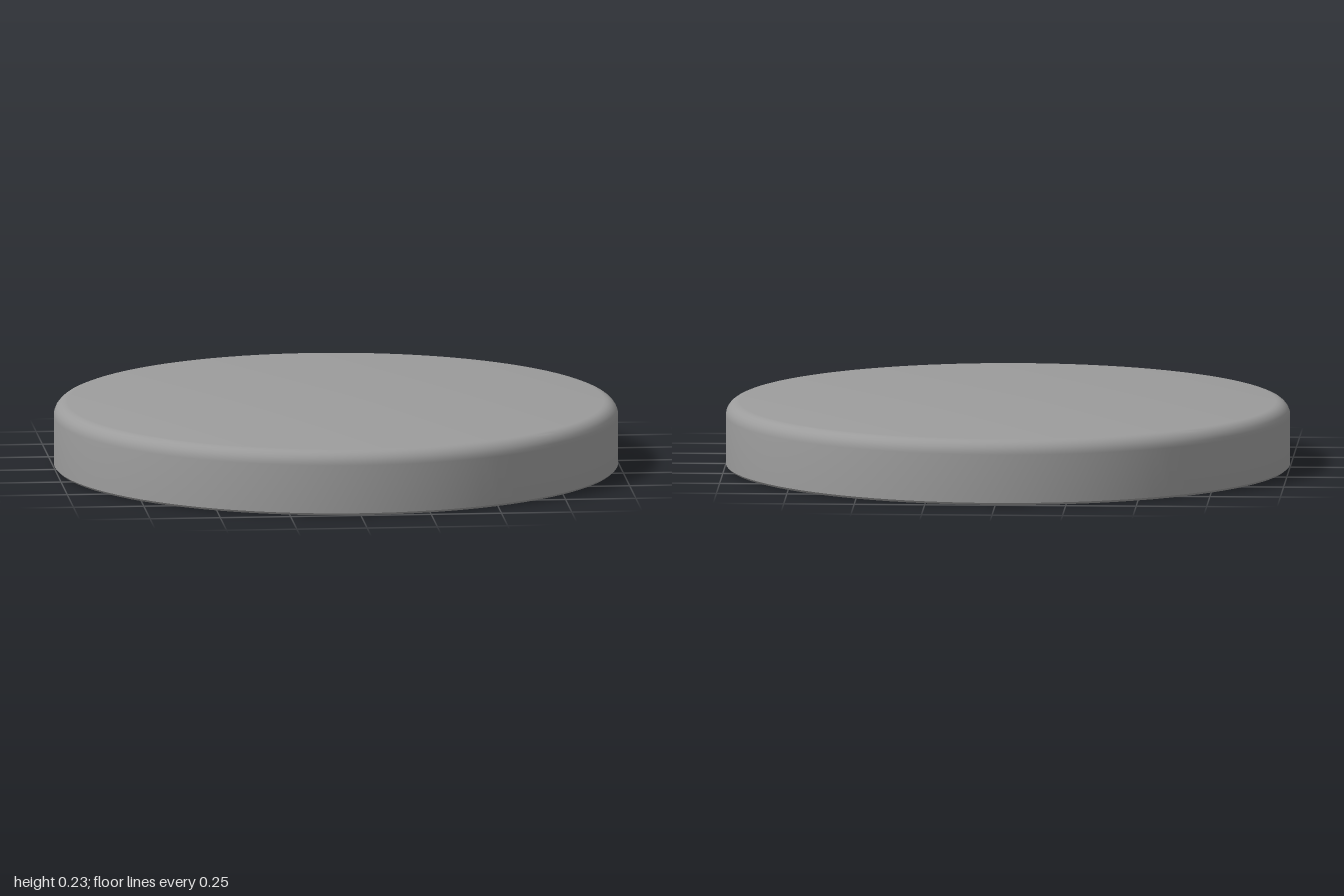
import * as THREE from 'three';
import { toCreasedNormals } from 'three/addons/utils/BufferGeometryUtils.js';

const TAU = Math.PI * 2;

// Outline helpers; a shape's y becomes the model's z
const circle = (x, z, r, Type = THREE.Shape) => new Type().absarc(x, z, r, 0, TAU, false);
const hexagon = (x, z, r) => new THREE.Path(Array.from({ length: 6 }, (_, i) =>
  new THREE.Vector2(x + r * Math.cos(i * TAU / 6), z + r * Math.sin(i * TAU / 6))));
const polar = (r, deg) => [r * Math.cos(deg * TAU / 360), r * Math.sin(deg * TAU / 360)];

export function createModel() {
  const model = new THREE.Group();
  const grey = new THREE.MeshStandardMaterial({ color: 0x9c9c9c });
  grey.name = 'grey';

  function add(name, geometry) {
    const mesh = new THREE.Mesh(toCreasedNormals(geometry, 0.5), grey);
    mesh.name = name;
    model.add(mesh);
  }
  // Flat layer between two heights, cut through by holes
  function layer(name, shape, holes, y0, y1, curveSegments = 24) {
    shape.holes.push(...holes);
    const g = new THREE.ExtrudeGeometry(shape, { depth: y1 - y0, bevelEnabled: false, curveSegments });
    add(name, g.rotateX(Math.PI / 2).translate(0, y1, 0));
  }

  // Round shell: underside, inner wall, lip, outer wall, rounded top edge
  const profile = [[0, 0.16], [0.97, 0.16], [0.97, 0.01], [0.978, 0], [0.992, 0], [1, 0.008], [1, 0.18]]
    .map(([r, y]) => new THREE.Vector2(r, y));
  for (let i = 1; i <= 6; i++) {
    const a = i * Math.PI / 12;
    profile.push(new THREE.Vector2(0.95 + 0.05 * Math.cos(a), 0.18 + 0.05 * Math.sin(a)));
  }
  profile.push(new THREE.Vector2(0, 0.23));
  add('shell', new THREE.LatheGeometry(profile, 96));

  // Pocket outline, mirrored across z = 0
  const half = [[0.62, 0.61], [0.1, 0.75], [-0.25, 0.75], [-0.3, 0.62], [-0.62, 0.61]];
  const pocket = new THREE.Path([...half, ...half.map(([x, z]) => [x, -z]).reverse()]
    .map(([x, z]) => new THREE.Vector2(x, z)));

  // Inner plates: pocket floor with two round recesses, and the lower plate around the pocket
  layer('pocketFloor', circle(0, 0, 0.971),
    [1, -1].map(s => circle(0, s * 0.52, 0.075, THREE.Path)), 0.125, 0.162, 48);
  const screwHoles = [32.5, 90, 147.5, -32.5, -90, -147.5]
    .map(deg => circle(...polar(0.84, deg), 0.022, THREE.Path));
  layer('lowerPlate', circle(0, 0, 0.971), [pocket, ...screwHoles], 0.1, 0.126, 48);

  // Three mounting bosses with hexagonal sockets
  for (const deg of [0, 120, 240]) {
    const [x, z] = polar(0.84, deg);
    layer('bossBase', circle(x, z, 0.088), [circle(x, z, 0.025, THREE.Path)], 0.055, 0.101);
    layer('bossSocket', circle(x, z, 0.088), [hexagon(x, z, 0.055)], 0.03, 0.055);
  }

  // Rounded pad with a small hole
  const pad = new THREE.Shape();
  pad.moveTo(-0.87, -0.17).lineTo(-0.77, -0.17).quadraticCurveTo(-0.69, -0.17, -0.69, -0.08)
    .lineTo(-0.69, 0.08).quadraticCurveTo(-0.69, 0.17, -0.77, 0.17).lineTo(-0.87, 0.17)
    .quadraticCurveTo(-0.89, 0, -0.87, -0.17);
  layer('pad', pad, [circle(-0.785, 0, 0.024, THREE.Path)], 0.035, 0.101);

  return model;
}
